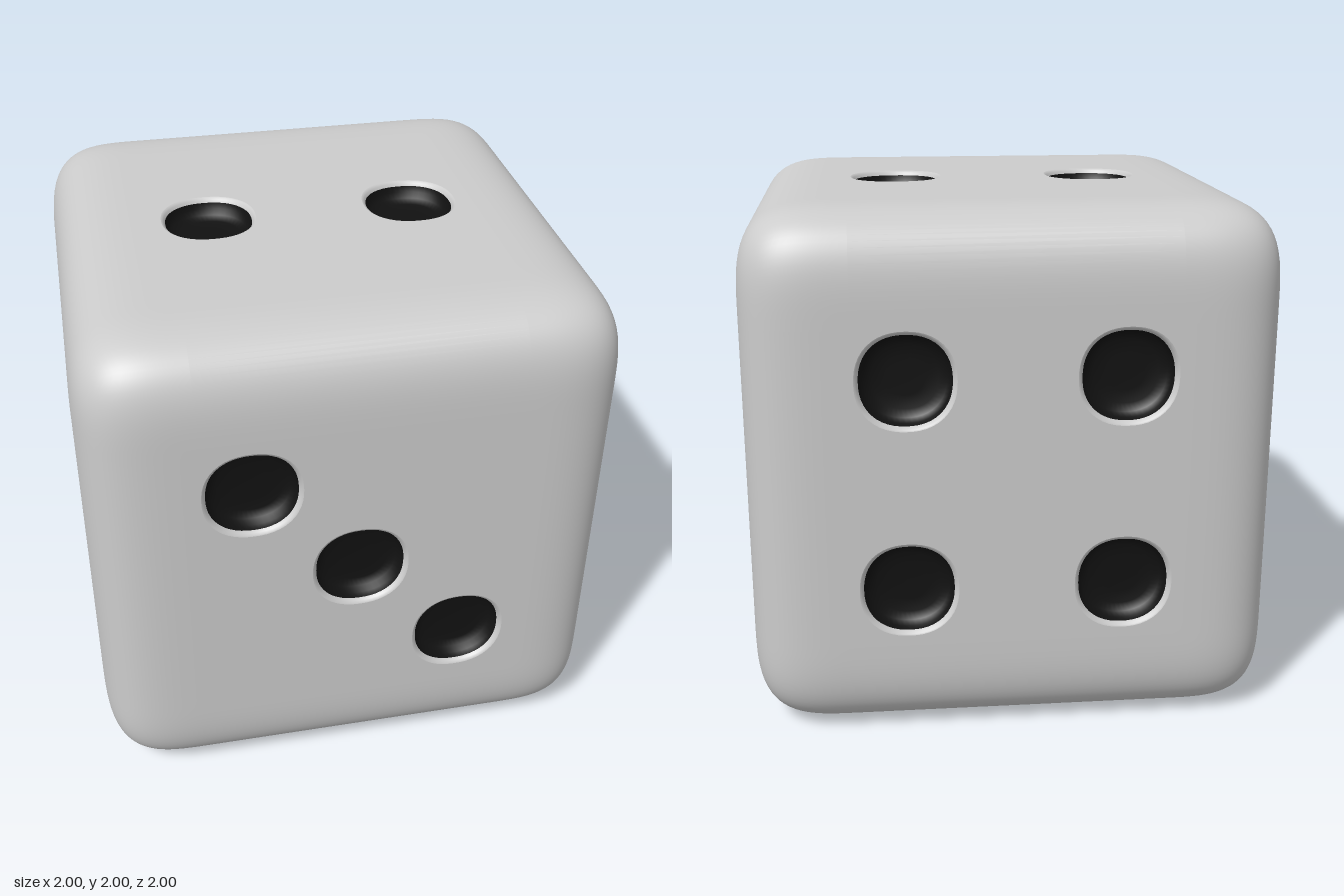
import * as THREE from 'three';

const HALF = 1;          // half the edge length
const ROUND = 0.41;      // reach of the soft edge rounding
const FLAT = HALF - ROUND;
const POWER = 3.7;       // superelliptic corner section
const SEG = 12;          // segments across each rounding
const PIP_SIDES = 48;
const STEP = 0.4;        // pip spacing

const bodyMaterial = new THREE.MeshStandardMaterial({ color: 0xcccccc });
const pipMaterial = new THREE.MeshStandardMaterial({ color: 0x111111 });

// Slightly squared circle: radius factor at an angle
function squareness(a) {
  const p = 2.25;
  return Math.pow(Math.abs(Math.cos(a)) ** p + Math.abs(Math.sin(a)) ** p, -1 / p);
}

// Rounded edges and corners; the flat middle of each side is left open
function roundedShell() {
  const n = 2 * SEG + 1;
  const geo = new THREE.BoxGeometry(2, 2, 2, n, n, n);
  const pos = geo.attributes.position, nor = geo.attributes.normal;
  const remap = (c) => {
    const i = Math.round((c + 1) * n / 2);
    return i <= SEG ? -HALF + ROUND * i / SEG : HALF - ROUND * (n - i) / SEG;
  };
  const onFlat = [];
  for (let i = 0; i < pos.count; i++) {
    const c = [pos.getX(i), pos.getY(i), pos.getZ(i)].map(remap);
    const core = c.map((v) => THREE.MathUtils.clamp(v, -FLAT, FLAT));
    let d = c.map((v, k) => (v - core[k]) / ROUND);
    onFlat.push(d.filter((v) => Math.abs(v) > 1e-4).length === 1);
    const len = Math.pow(d.reduce((s, v) => s + Math.abs(v) ** POWER, 0), 1 / POWER);
    d = d.map((v) => v / len);
    pos.setXYZ(i, ...core.map((v, k) => v + d[k] * ROUND));
    const normal = new THREE.Vector3(...d.map((v) => Math.sign(v) * Math.abs(v) ** (POWER - 1)));
    normal.normalize();
    nor.setXYZ(i, normal.x, normal.y, normal.z);
  }
  const kept = [], index = geo.index.array;
  for (let t = 0; t < index.length; t += 3) {
    const tri = [index[t], index[t + 1], index[t + 2]];
    if (!tri.every((v) => onFlat[v])) kept.push(...tri);
  }
  geo.setIndex(kept);
  geo.clearGroups();
  return geo;
}

// Turned recess, opening towards +z, with the squared outline
function recess(profile) {
  const geo = new THREE.LatheGeometry(profile.map(([r, y]) => new THREE.Vector2(r, y)), PIP_SIDES);
  const pos = geo.attributes.position;
  for (let i = 0; i < pos.count; i++) {
    const x = pos.getX(i), z = pos.getZ(i);
    const s = squareness(Math.atan2(z, x));
    pos.setX(i, x * s);
    pos.setZ(i, z * s);
  }
  return geo.rotateX(Math.PI / 2);
}

const LIP = [[0.184, 0], [0.179, -0.002], [0.173, -0.008], [0.168, -0.018]];
const BOWL = [[0.168, -0.018], [0.164, -0.042], [0.15, -0.064], [0.12, -0.077], [0.07, -0.08], [0, -0.08]];

// Flat side with a hole for each pip
function flatPanel(pips) {
  const shape = new THREE.Shape();
  shape.moveTo(-FLAT, -FLAT).lineTo(FLAT, -FLAT).lineTo(FLAT, FLAT).lineTo(-FLAT, FLAT).closePath();
  for (const [x, y] of pips) {
    const ring = [];
    for (let i = 0; i < PIP_SIDES; i++) {
      const a = -i / PIP_SIDES * Math.PI * 2, r = LIP[0][0] * squareness(a);
      ring.push(new THREE.Vector2(x + r * Math.cos(a), y + r * Math.sin(a)));
    }
    shape.holes.push(new THREE.Path(ring));
  }
  return new THREE.ShapeGeometry(shape);
}

export function createModel() {
  const die = new THREE.Group();
  die.name = 'die';

  const add = (parent, geo, material, name) => {
    const mesh = new THREE.Mesh(geo, material);
    mesh.name = name;
    parent.add(mesh);
    return mesh;
  };
  add(die, roundedShell(), bodyMaterial, 'roundedEdges').position.y = HALF;

  const lipGeo = recess(LIP), bowlGeo = recess(BOWL);
  const s = STEP, q = Math.PI / 2;
  const corners = [[-s, s], [s, s], [-s, -s], [s, -s]];

  // Side name, rotation about x and y, pip positions
  const sides = [
    ['right', 0, q, [[0, 0]]],
    ['top', -q, 0, [[-s, 0], [s, 0]]],
    ['front', 0, 0, [[-s, s], [0, 0], [s, -s]]],
    ['back', 0, 2 * q, corners],
    ['bottom', q, 0, [...corners, [0, 0]]],
    ['left', 0, -q, [...corners, [-s, 0], [s, 0]]],
  ];
  for (const [name, rx, ry, pips] of sides) {
    const side = new THREE.Group();
    side.name = name + 'Side';
    side.rotation.set(rx, ry, 0);
    side.position.y = HALF;
    add(side, flatPanel(pips), bodyMaterial, name + 'Panel').position.z = HALF;
    for (const [x, y] of pips) {
      add(side, lipGeo, bodyMaterial, 'pipLip').position.set(x, y, HALF);
      add(side, bowlGeo, pipMaterial, 'pip').position.set(x, y, HALF);
    }
    die.add(side);
  }
  return die;
}
